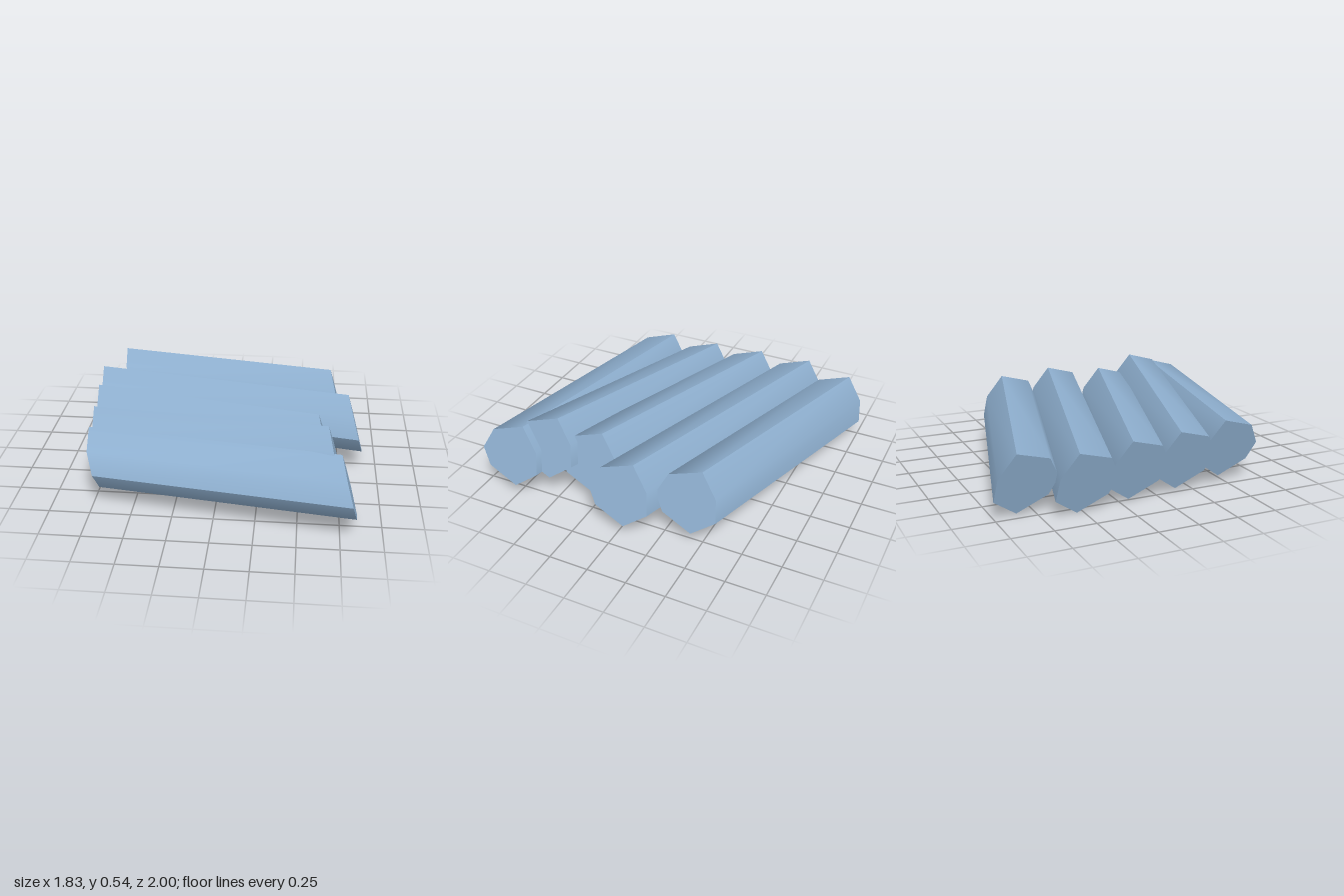
import * as THREE from 'three';
import { toCreasedNormals } from 'three/addons/utils/BufferGeometryUtils.js';

// Uneven seven-sided log section, as (z, y) offsets from the log's axis
const SECTION = [
  [0.195, 0.006], [0.13, 0.133], [-0.075, 0.193], [-0.177, 0.048],
  [-0.193, -0.092], [-0.05, -0.192], [0.14, -0.102],
];

// Centre of each log's left end, and the run from there to its right end
const LOGS = [
  { end: [0.748, 0.272, -0.39], run: [-1.498, -0.07, -0.422] },
  { end: [0.86, 0.272, 0.0], run: [-1.72, -0.079, -0.488] },
  { end: [0.667, 0.28, 0.315], run: [-1.487, -0.073, -0.46] },
  { end: [0.722, 0.344, 0.592], run: [-1.503, -0.135, -0.405] },
  { end: [0.8, 0.271, 0.798], run: [-1.54, -0.042, -0.285] },
];

export function createModel() {
  const group = new THREE.Group();
  group.name = 'logRaft';
  const blue = new THREE.MeshStandardMaterial({ color: 0x8fb0d0 });
  blue.name = 'softBlue';

  const shape = new THREE.Shape(SECTION.map(([z, y]) => new THREE.Vector2(z, y)));
  const unitLog = new THREE.ExtrudeGeometry(shape, { depth: 1, bevelEnabled: false });

  LOGS.forEach(({ end, run }, i) => {
    // Slanted end cuts: the section plane leans while the log follows its run
    const place = new THREE.Matrix4().makeBasis(
      new THREE.Vector3(0.056, 0, 1),
      new THREE.Vector3(-0.274, 1, 0),
      new THREE.Vector3(...run),
    ).setPosition(...end);
    const geometry = toCreasedNormals(
      unitLog.clone().applyMatrix4(place), THREE.MathUtils.degToRad(50));
    const log = new THREE.Mesh(geometry, blue);
    log.name = `log${i + 1}`;
    group.add(log);
  });
  return group;
}
